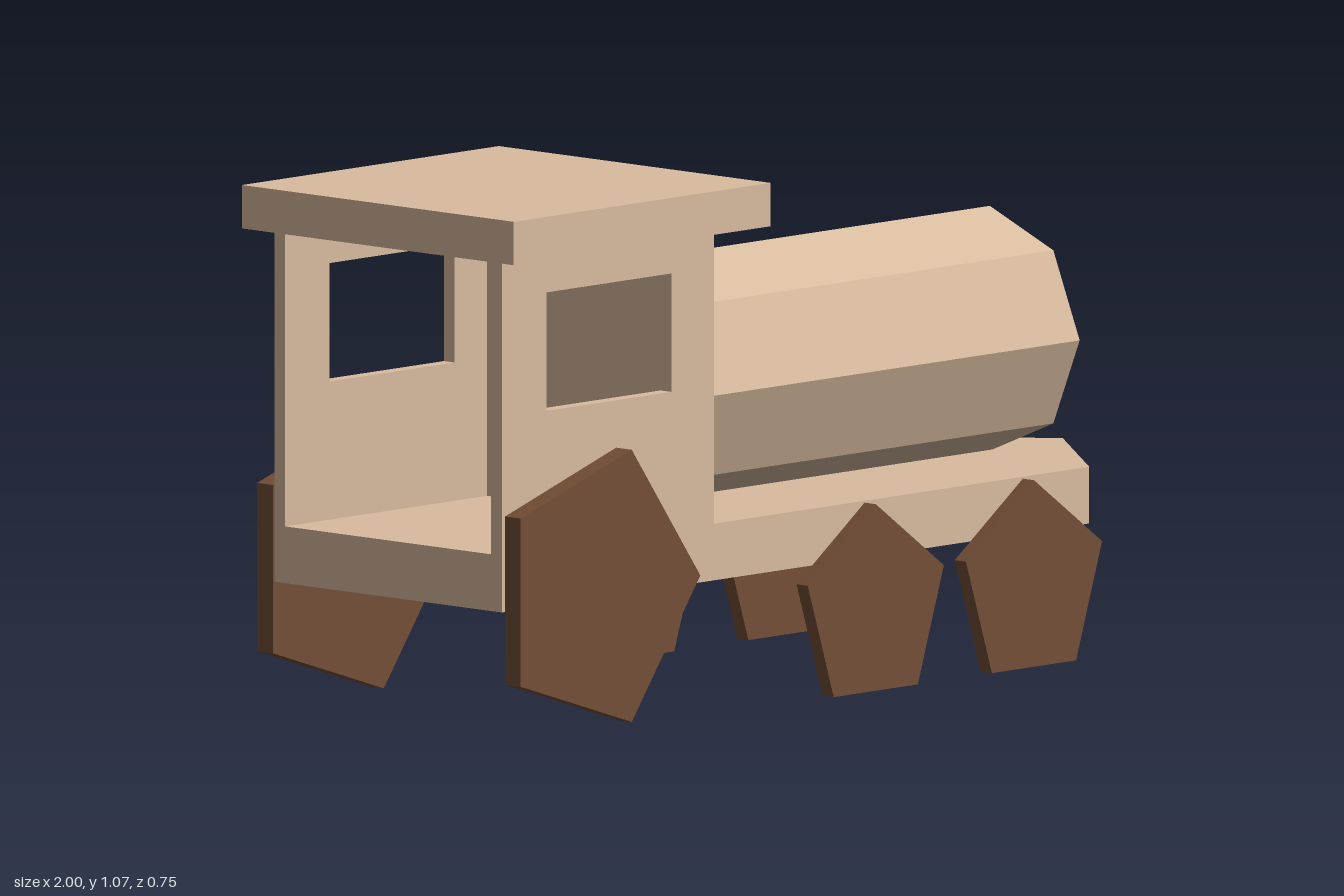
import * as THREE from 'three';

export function createModel() {
  const model = new THREE.Group();
  model.name = 'toyTrain';

  const wood = new THREE.MeshStandardMaterial({ color: 0xd9bca0 });
  wood.name = 'lightWood';
  const dark = new THREE.MeshStandardMaterial({ color: 0x744f37 });
  dark.name = 'darkWood';

  const add = (name, geometry, material, x = 0, y = 0, z = 0) => {
    const mesh = new THREE.Mesh(geometry, material);
    mesh.name = name;
    mesh.position.set(x, y, z);
    model.add(mesh);
    return mesh;
  };
  // box given by its limits on each axis
  const addBox = (name, [x0, x1], [y0, y1], [z0, z1]) =>
    add(name, new THREE.BoxGeometry(x1 - x0, y1 - y0, z1 - z0), wood,
      (x0 + x1) / 2, (y0 + y1) / 2, (z0 + z1) / 2);
  // faceted normals
  const facet = (geometry) => {
    const g = geometry.toNonIndexed();
    g.computeVertexNormals();
    return g;
  };

  const W = 0.314, T = 0.03;
  const back = -0.97, cabFront = -0.35, deck = 0.38, under = 0.265, eaves = 0.978;

  // platform with a pointed, softly shaded bow
  addBox('platform', [back, 0.745], [under, deck], [-W, W]);
  const bow = new THREE.CylinderGeometry(W, W, deck - under, 2, 1, false, 0, Math.PI);
  bow.scale(0.255 / W, 1, 1);
  add('bow', bow, wood, 0.745, (under + deck) / 2, 0);

  // cab: two windowed sides, a front wall, open at the back
  const side = new THREE.Shape([
    [back, deck], [cabFront, deck], [cabFront, eaves], [back, eaves],
  ].map(([x, y]) => new THREE.Vector2(x, y)));
  side.holes.push(new THREE.Path([
    [-0.84, 0.66], [-0.84, 0.9], [-0.475, 0.9], [-0.475, 0.66],
  ].map(([x, y]) => new THREE.Vector2(x, y))));
  const sideGeometry = new THREE.ExtrudeGeometry(side, { depth: T, bevelEnabled: false });
  add('cabSideLeft', sideGeometry, wood, 0, 0, W - T);
  add('cabSideRight', sideGeometry, wood, 0, 0, -W);
  addBox('cabFrontWall', [cabFront - T, cabFront], [deck, eaves], [T - W, W - T]);
  addBox('roof', [-1, -0.25], [eaves, 1.066], [-0.375, 0.375]);

  // eight-sided boiler with a stepped nose
  const profile = [[0, cabFront], [0.248, cabFront], [0.248, 0.787], [0.107, 0.835], [0.068, 0.88], [0, 0.88]]
    .map(([r, h]) => new THREE.Vector2(r, h));
  const boiler = new THREE.LatheGeometry(profile, 8);
  boiler.rotateZ(-Math.PI / 2);
  add('boiler', facet(boiler), wood, 0, 0.625, 0);

  // five-sided wheels: [name, x, y, radius, thickness, distance from middle, turn]
  const wheels = [
    ['rearWheel', -0.735, 0.29, 0.29, 0.043, 0.342, -Math.PI / 2],
    ['middleWheel', 0.08, 0.169, 0.209, 0.031, 0.336, 0],
    ['frontWheel', 0.542, 0.169, 0.209, 0.031, 0.336, 0],
  ];
  for (const [name, x, y, r, t, z, turn] of wheels) {
    const wheel = new THREE.CylinderGeometry(r, r, t, 5);
    wheel.rotateX(-Math.PI / 2);
    wheel.rotateZ(turn);
    const geometry = facet(wheel);
    add(name + 'Left', geometry, dark, x, y, z + 0.002);
    add(name + 'Right', geometry, dark, x, y, -z + 0.002);
  }

  return model;
}
